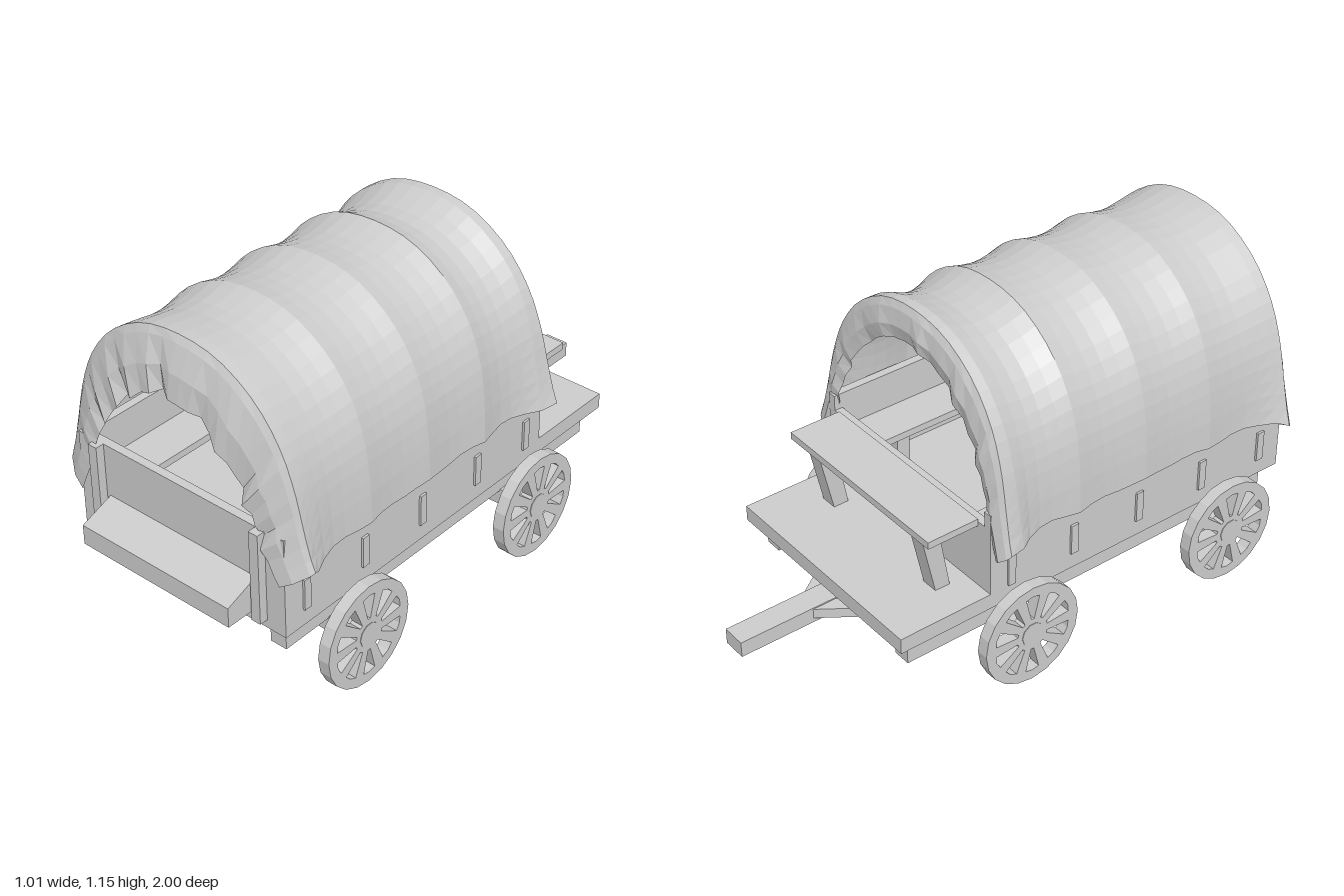
import * as THREE from 'three';

const mat = new THREE.MeshStandardMaterial({ color: 0xcccccc, flatShading: true });
const clothMat = new THREE.MeshStandardMaterial({ color: 0xcccccc, flatShading: true, side: THREE.DoubleSide });

export function createModel() {
  const root = new THREE.Group();

  const add = (name, geo, m = mat) => {
    const mesh = new THREE.Mesh(geo, m);
    mesh.name = name;
    root.add(mesh);
    return mesh;
  };
  // Box given by its minimum and maximum on each axis
  const box = (name, x0, x1, y0, y1, z0, z1) => {
    const g = new THREE.BoxGeometry(x1 - x0, y1 - y0, z1 - z0);
    g.translate((x0 + x1) / 2, (y0 + y1) / 2, (z0 + z1) / 2);
    return add(name, g);
  };
  // Prism from a (z, y) outline, spanning x0..x1
  const prism = (name, pts, x0, x1) => {
    const s = new THREE.Shape(pts.map(([z, y]) => new THREE.Vector2(-z, y)));
    const g = new THREE.ExtrudeGeometry(s, { depth: x1 - x0, bevelEnabled: false });
    g.rotateY(Math.PI / 2);
    g.translate(x0, 0, 0);
    return add(name, g);
  };

  // Wagon bed
  box('bedFloor', -0.42, 0.42, 0.30, 0.355, -0.34, 0.88);
  box('tailPanel', -0.42, 0.42, 0.30, 0.655, 0.85, 0.88);
  box('frontPanel', -0.42, 0.42, 0.30, 0.60, -0.34, -0.31);
  for (const s of [-1, 1]) {
    const sideBox = (name, a, b, ...r) => box(name, Math.min(s * a, s * b), Math.max(s * a, s * b), ...r);
    sideBox('sideWall', 0.39, 0.42, 0.30, 0.655, -0.34, 0.88);
    for (const z of [0.79, 0.53, 0.26, -0.01, -0.26])
      sideBox('sideSlat', 0.42, 0.428, 0.36, 0.47, z - 0.014, z + 0.014);
    sideBox('tailPost', 0.312, 0.347, 0.33, 0.655, 0.88, 0.91);
    sideBox('chassisRail', 0.32, 0.382, 0.21, 0.30, -0.63, 0.84);
    // Inside benches
    sideBox('benchPlank', 0.24, 0.39, 0.50, 0.525, -0.28, 0.82);
    for (const z of [-0.15, 0.27, 0.7]) sideBox('benchLeg', 0.28, 0.32, 0.355, 0.50, z - 0.025, z + 0.025);
    // Leaning seat supports
    const lx = s * 0.27;
    prism('seatLeg', [[-0.405, 0.355], [-0.46, 0.355], [-0.51, 0.586], [-0.445, 0.586]], lx - 0.03, lx + 0.03);
    // Braces running in to the tongue
    const a = new THREE.Vector3(s * 0.34, 0.228, -0.26), b = new THREE.Vector3(0.005, 0.228, -0.74);
    const brace = add('tongueBrace', new THREE.BoxGeometry(0.05, 0.035, a.distanceTo(b)));
    brace.position.copy(a).lerp(b, 0.5);
    brace.lookAt(a);
  }
  prism('feedTrough', [[0.88, 0.355], [1.0, 0.355], [1.0, 0.425], [0.88, 0.47]], -0.298, 0.307);

  // Driver's end and undercarriage
  box('driverPlatform', -0.42, 0.42, 0.30, 0.355, -0.68, -0.34);
  box('driverSeat', -0.36, 0.365, 0.585, 0.61, -0.528, -0.34);
  box('tongue', -0.03, 0.055, 0.195, 0.25, -1.0, 0.19);
  for (const z of [0.80, -0.59]) box('crossBeam', -0.32, 0.32, 0.245, 0.30, z - 0.03, z + 0.03);

  // Wheels with wedge-shaped openings between the spokes
  const circlePt = (r, a) => new THREE.Vector2(r * Math.cos(a), r * Math.sin(a));
  const rim = [];
  for (let i = 0; i < 20; i++) rim.push(circlePt(0.183, (i / 20) * Math.PI * 2));
  const wheelShape = new THREE.Shape(rim);
  for (let i = 0; i < 10; i++) {
    const c = ((i + 0.5) / 10) * Math.PI * 2;
    wheelShape.holes.push(new THREE.Path([
      circlePt(0.06, c - 0.09), circlePt(0.06, c + 0.09),
      circlePt(0.145, c + 0.18), circlePt(0.148, c), circlePt(0.145, c - 0.18),
    ]));
  }
  const wheelGeo = new THREE.ExtrudeGeometry(wheelShape, { depth: 0.042, bevelEnabled: false });
  wheelGeo.translate(0, 0, -0.021);
  wheelGeo.rotateY(Math.PI / 2);
  const hubGeo = new THREE.CylinderGeometry(0.042, 0.042, 0.046, 10).rotateZ(Math.PI / 2);
  for (const z of [0.61, -0.23]) {
    box('axle', -0.46, 0.47, 0.155, 0.215, z - 0.04, z + 0.04);
    for (const x of [-0.471, 0.486]) {
      add('wheel', wheelGeo).position.set(x, 0.188, z);
      add('wheelHub', hubGeo).position.set(x, 0.188, z);
    }
  }

  // Cloth cover: outer arch, and the gathered edge at each opening
  const half = (pts) => {
    const mirrored = pts.slice(1).reverse().map(([x, y]) => [-x, y]);
    return new THREE.CatmullRomCurve3([...mirrored, ...pts].map(([x, y]) => new THREE.Vector3(x, y, 0)));
  };
  const outer = half([[0, 1.155], [0.15, 1.132], [0.285, 1.05], [0.375, 0.935], [0.422, 0.81], [0.443, 0.67], [0.45, 0.535]]);
  const inner = half([[0, 0.965], [0.10, 0.945], [0.20, 0.865], [0.27, 0.77], [0.32, 0.68], [0.355, 0.585], [0.41, 0.47]]);

  // Stations along the cover: [z, sag between hoops, flare, gather]
  const stations = [[0.892, 0, 1, 1], [0.882, 0, 1, 0.55], [0.852, 0, 1, 0.12], [0.838, 0, 0.95, 0], [0.80, 0.004, 0.6, 0]];
  const hoops = [0.80, 0.53, 0.26, -0.01, -0.26];
  const sags = [0.022, 0.022, 0.024, 0.036];
  for (let h = 0; h < 4; h++)
    for (let k = 1; k <= 5; k++) {
      const t = k / 5;
      const flare = h === 3 ? 0.6 * t ** 5 : h === 0 ? 0.6 * (1 - t) ** 5 : 0;
      stations.push([hoops[h] + (hoops[h + 1] - hoops[h]) * t, sags[h] * Math.sin(Math.PI * t), flare, 0]);
    }
  stations.push([-0.295, 0, 0.85, 0], [-0.308, 0, 0.85, 0.12], [-0.32, 0, 0.8, 0.4], [-0.31, 0, 0.8, 0.65]);

  const N = 32, pos = [], idx = [];
  stations.forEach(([z, sag, flare, gather], i) => {
    for (let j = 0; j <= N; j++) {
      const u = j / N, v = Math.abs(u * 2 - 1);
      const p = outer.getPoint(u), q = inner.getPoint(u);
      p.x *= 1 - sag * 1.1 + 0.125 * flare * v ** 5;
      p.y -= sag * (1 - v * v) + (v === 1 ? 0.004 * Math.sin(i * 1.7) : 0);
      // Ragged pleats, strongest over the top of the opening
      const pleat = gather * (1 - v ** 3) * Math.sin(j * 2.4 + 0.6) * Math.sin(j * 0.9 + 1);
      p.lerp(q, gather * (1 + 0.05 * pleat));
      // The tail hem hangs lower on the right side
      if (z > 0.8) p.y += 0.022 * flare * Math.sign(u - 0.5) * v ** 8;
      const lean = z < 0 && flare > 0.7 ? -0.025 * v * v : 0;
      pos.push(p.x, p.y, z + lean + 0.022 * pleat);
      if (i && j) {
        const a = (i - 1) * (N + 1) + j - 1, b = a + N + 1;
        idx.push(a, a + 1, b, a + 1, b + 1, b);
      }
    }
  });
  const cloth = new THREE.BufferGeometry();
  cloth.setAttribute('position', new THREE.Float32BufferAttribute(pos, 3));
  cloth.setIndex(idx);
  cloth.computeVertexNormals();
  add('clothCover', cloth, clothMat);

  return root;
}
